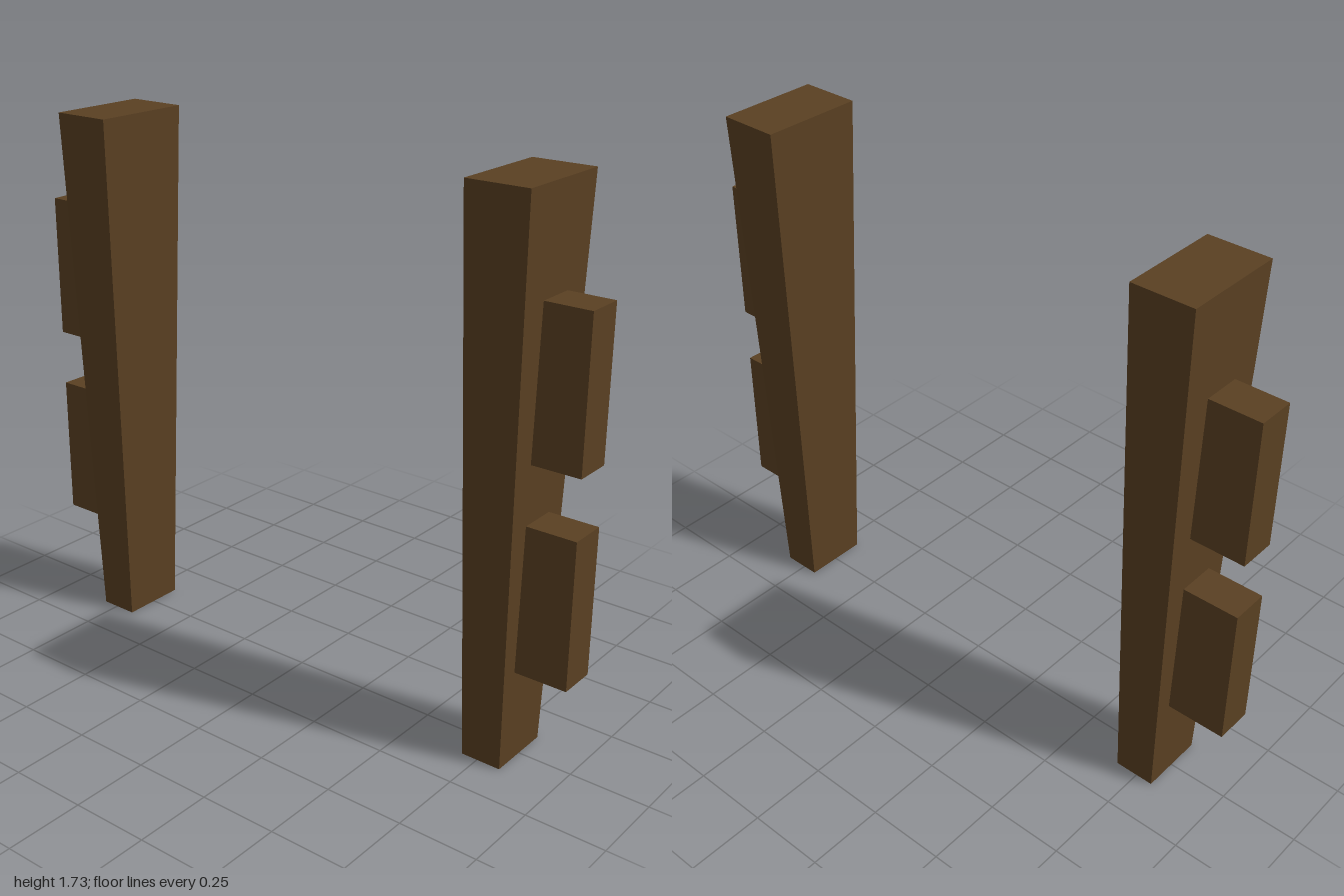
import * as THREE from 'three';

const HEIGHT = 1.73;

// Box post that narrows towards its foot
function taperedPost(topW, topD, footW, footD) {
  const geo = new THREE.BoxGeometry(1, HEIGHT, 1).translate(0, HEIGHT / 2, 0);
  const p = geo.attributes.position;
  for (let i = 0; i < p.count; i++) {
    const t = p.getY(i) / HEIGHT;
    p.setX(i, p.getX(i) * THREE.MathUtils.lerp(footW, topW, t));
    p.setZ(i, p.getZ(i) * THREE.MathUtils.lerp(footD, topD, t));
  }
  geo.computeVertexNormals();
  return geo;
}

export function createModel() {
  const model = new THREE.Group();
  model.name = 'postPair';
  const wood = new THREE.MeshStandardMaterial({ color: 0x5a4022 });
  wood.name = 'darkWood';

  const postGeo = taperedPost(0.335, 0.198, 0.216, 0.129);
  const ends = [
    { name: 'front', side: 1, z: 0.762 },
    { name: 'back', side: -1, z: -0.741 },
  ];

  for (const { name, side, z } of ends) {
    const group = new THREE.Group();
    group.name = name + 'Assembly';

    const post = new THREE.Mesh(postGeo, wood);
    post.name = name + 'Post';
    post.position.set(-0.001, 0, z);
    group.add(post);

    // Two upright blocks on the outer face, rooted inside the post
    const inner = Math.abs(z) + 0.03;
    const depth = 1 - inner;
    [['Lower', 0.537], ['Upper', 1.185]].forEach(([level, y]) => {
      const block = new THREE.Mesh(new THREE.BoxGeometry(0.123, 0.464, depth), wood);
      block.name = name + level + 'Block';
      block.position.set(-0.002, y, side * (inner + depth / 2));
      group.add(block);
    });
    model.add(group);
  }
  return model;
}
